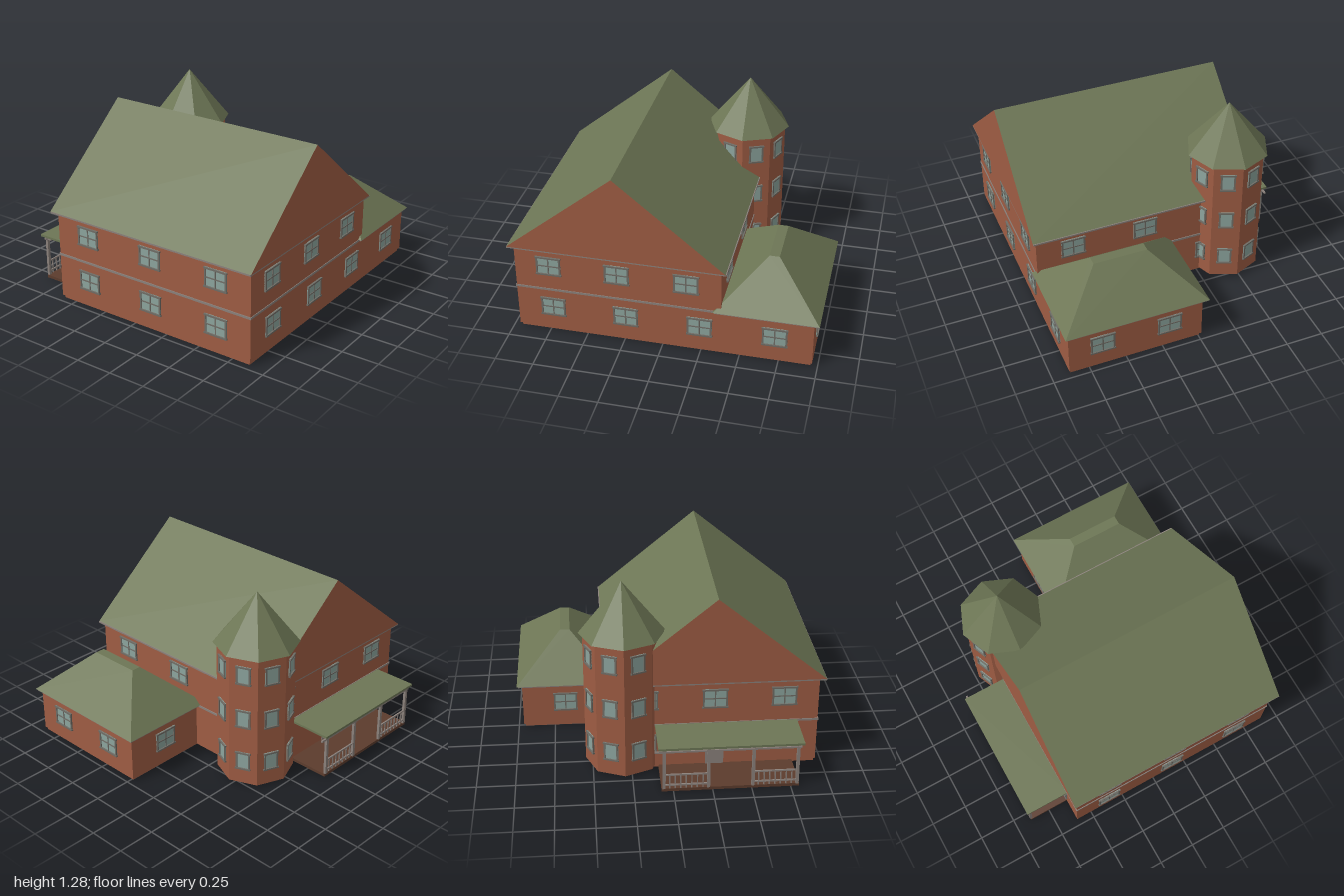
import * as THREE from 'three';
import { ConvexGeometry } from 'three/addons/geometries/ConvexGeometry.js';

const material = (name, color) => {
  const m = new THREE.MeshStandardMaterial({ color });
  m.name = name;
  return m;
};

export function createModel() {
  const house = new THREE.Group();
  house.name = 'house';
  const brick = material('brick', 0x9e5c43);
  const roofGreen = material('roof green', 0x6d7655);
  const glass = material('window glass', 0x8ca49d);
  const frame = material('window frame', 0x6f6d66);
  const trim = material('stone trim', 0x8b817b);
  const wood = material('porch wood', 0x5c3c2d);

  const add = (name, geometry, mat, parent = house) => {
    const mesh = new THREE.Mesh(geometry, mat);
    mesh.name = name;
    parent.add(mesh);
    return mesh;
  };
  // Box given by its two limits on every axis
  const box = (name, mat, [x0, x1], [y0, y1], [z0, z1], parent = house) => {
    const mesh = add(name, new THREE.BoxGeometry(x1 - x0, y1 - y0, z1 - z0), mat, parent);
    mesh.position.set((x0 + x1) / 2, (y0 + y1) / 2, (z0 + z1) / 2);
    return mesh;
  };
  const faceted = (geometry) => {
    const g = geometry.toNonIndexed();
    g.computeVertexNormals();
    return g;
  };

  // Framed window standing on a wall, facing out along its local z
  const addWindow = (name, x, y, z, turn, w, h, divided) => {
    const g = new THREE.Group();
    g.name = name;
    g.position.set(x, y, z);
    g.rotation.y = turn;
    house.add(g);
    const a = w / 2, b = h / 2, t = 0.011;
    box('pane', glass, [-a, a], [-b, b], [-0.003, 0.004], g);
    for (const s of [-1, 1]) {
      const jamb = box('jamb', frame, [-t / 2, t / 2], [-b, b], [-0.003, 0.01], g);
      jamb.position.x = s * (a - t / 2);
      const rail = box('sillOrLintel', frame, [-a - 0.004, a + 0.004], [-t / 2, t / 2], [-0.003, 0.013], g);
      rail.position.y = s * (b - t / 2);
    }
    if (divided) {
      box('mullion', frame, [-0.004, 0.004], [-b, b], [-0.003, 0.008], g);
      box('crossbar', frame, [-a, a], [-0.004, 0.004], [-0.003, 0.008], g);
    }
  };
  const LOW = 0.19, HIGH = 0.505, W = 0.16, H = 0.135;

  // Main block and side wing
  box('mainFoundation', brick, [-0.95, 0.37], [0, 0.02], [-0.6, 0.875]);
  box('wingFoundation', brick, [0.37, 0.955], [0, 0.02], [-0.01, 0.875]);
  box('mainWalls', brick, [-0.96, 0.38], [0.02, 0.62], [-0.61, 0.885]);
  box('wingWalls', brick, [0.38, 0.965], [0.02, 0.32], [-0.02, 0.885]);
  box('floorBand', trim, [-0.965, 0.385], [0.315, 0.33], [-0.615, 0.889]);

  // Gable roof with brick ends
  const gable = new THREE.Shape([
    new THREE.Vector2(-1, 0.63), new THREE.Vector2(0.41, 0.63), new THREE.Vector2(-0.295, 1.21),
  ]);
  const gableRoof = add('gableRoof',
    new THREE.ExtrudeGeometry(gable, { depth: 1.55, bevelEnabled: false }), [brick, roofGreen]);
  gableRoof.position.z = -0.64;
  box('mainEaves', trim, [-1, 0.415], [0.62, 0.631], [-0.638, 0.908]);

  // Hipped wing roof with a small flat top
  const hip = [];
  for (const x of [0.33, 1]) for (const z of [-0.055, 0.91]) hip.push(new THREE.Vector3(x, 0.33, z));
  for (const x of [0.63, 0.695]) for (const z of [0.25, 0.61]) hip.push(new THREE.Vector3(x, 0.607, z));
  add('wingRoof', new ConvexGeometry(hip), roofGreen);
  box('wingEaves', trim, [0.34, 0.992], [0.319, 0.3305], [-0.047, 0.902]);

  // Front, side and back windows
  for (const x of [-0.737, -0.29, 0.157]) {
    addWindow('frontUpperWindow', x, HIGH, 0.885, 0, W, H, true);
    addWindow('backUpperWindow', x, HIGH, -0.61, Math.PI, W, H, true);
  }
  for (let i = 0; i < 4; i++) addWindow('frontLowerWindow', -0.72 + i * 0.481, LOW, 0.885, 0, W, H, true);
  for (const z of [-0.36, 0.137, 0.636]) {
    addWindow('rightSideUpperWindow', -0.96, HIGH, z, -Math.PI / 2, W, H, true);
    addWindow('rightSideLowerWindow', -0.96, LOW, z, -Math.PI / 2, W, H, true);
    addWindow('leftSideUpperWindow', 0.38, HIGH, z, Math.PI / 2, W, H, true);
  }
  for (const z of [0.206, 0.659]) addWindow('wingSideWindow', 0.965, LOW, z, Math.PI / 2, W, H, true);
  addWindow('wingBackWindow', 0.672, LOW, -0.02, Math.PI, W, H, true);
  addWindow('leftSideLowerWindow', 0.38, LOW, -0.315, Math.PI / 2, W, H, true);
  addWindow('backLowerWindow', -0.737, LOW, -0.61, Math.PI, W, H, true);

  // Octagonal tower
  const TX = 0.295, TZ = -0.48, R = 0.25;
  const tower = add('towerWalls', faceted(new THREE.CylinderGeometry(R, R, 0.92, 8)), brick);
  tower.position.set(TX, 0.48, TZ);
  const towerRoof = add('towerRoof', faceted(new THREE.ConeGeometry(0.276, 0.345, 8)), roofGreen);
  towerRoof.position.set(TX, 1.1125, TZ);
  const inner = R * Math.cos(Math.PI / 8);
  for (let i = 0; i < 8; i++) {
    const a = (i + 0.5) * Math.PI / 4;
    for (const y of [0.19, 0.503, 0.815]) {
      addWindow('towerWindow', TX + inner * Math.sin(a), y, TZ + inner * Math.cos(a), a, 0.096, 0.128, false);
    }
  }

  // Back porch with posts and railings
  box('porchFloor', wood, [-0.805, 0.075], [0, 0.02], [-0.89, -0.6]);
  box('porchRoof', roofGreen, [-0.825, 0.097], [0.313, 0.328], [-0.913, -0.6]);
  box('porchBeam', trim, [-0.81, 0.12], [0.286, 0.298], [-0.897, -0.885]);
  const posts = [-0.79, -0.507, -0.223, 0.06];
  for (const x of posts) {
    box('porchPost', trim, [x - 0.01, x + 0.01], [0.02, 0.313], [-0.895, -0.877]);
    box('postBracket', trim, [x - 0.006, x + 0.006], [0.284, 0.3], [-0.88, -0.848]);
  }
  for (const [x0, x1] of [[posts[0], posts[1]], [posts[2], posts[3]]]) {
    for (const y of [0.04, 0.115]) box('porchRail', trim, [x0, x1], [y, y + 0.01], [-0.891, -0.881]);
    for (let i = 1; i < 8; i++) {
      const x = x0 + (x1 - x0) * i / 8;
      box('baluster', trim, [x - 0.004, x + 0.004], [0.02, 0.12], [-0.889, -0.883]);
    }
  }

  // Back door
  box('backDoor', trim, [-0.35, -0.23], [0.02, 0.265], [-0.618, -0.6]);
  box('doorPane', glass, [-0.325, -0.255], [0.15, 0.24], [-0.621, -0.615]);

  return house;
}
